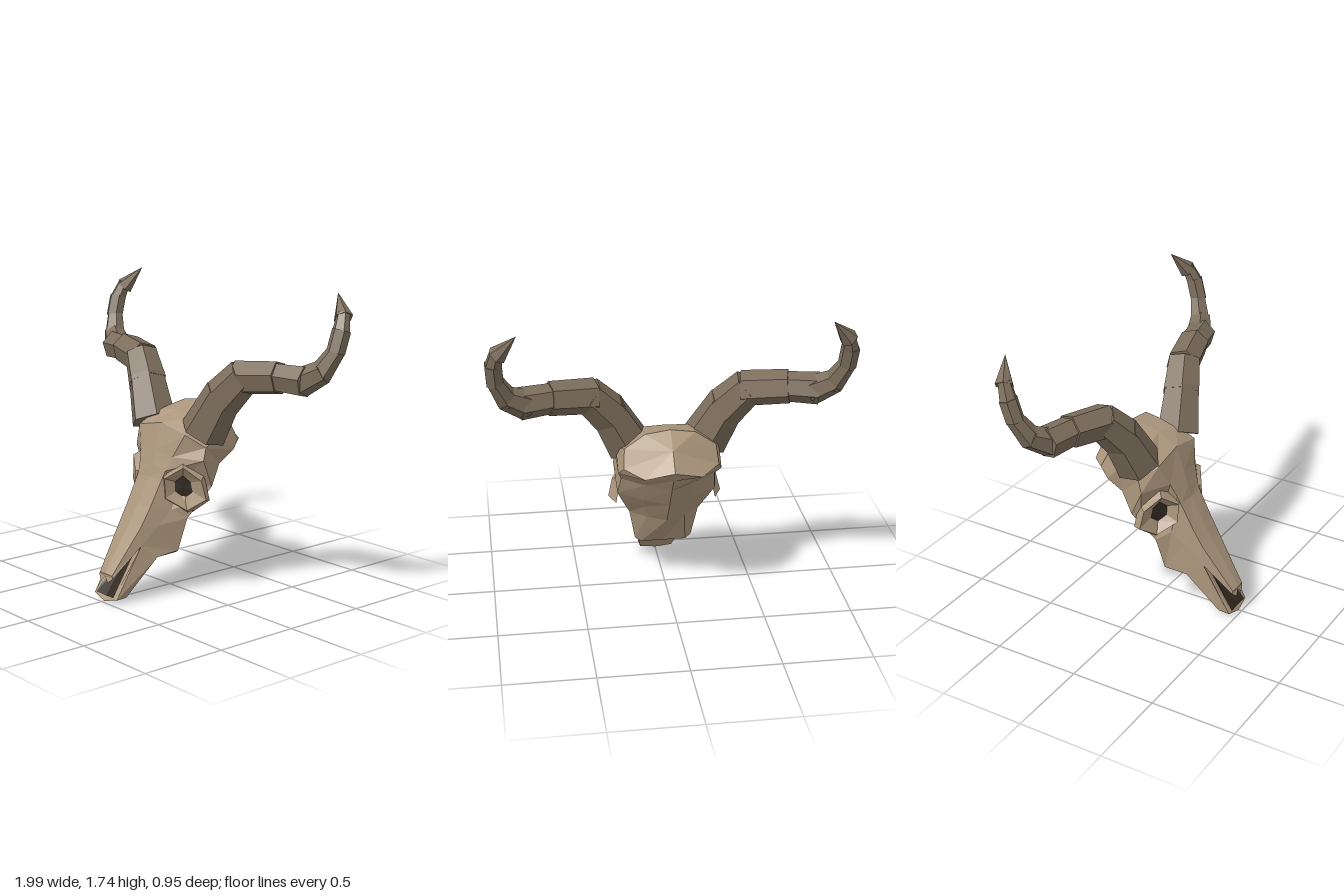
import * as THREE from 'three';

const bone = new THREE.MeshStandardMaterial({ color: 0xab967c });
bone.name = 'bone';
const horn = new THREE.MeshStandardMaterial({ color: 0x7d6e5c });
horn.name = 'horn';
const hollow = new THREE.MeshStandardMaterial({ color: 0x30281f });
hollow.name = 'hollow';

// Full loop from a half section that starts and ends on the centre line
const mirrorLoop = (half) => [
  ...half,
  ...half.slice(1, -1).reverse().map(([x, y, z]) => [-x, y, z]),
];

const average = (loop) => [0, 1, 2].map((k) => loop.reduce((s, p) => s + p[k], 0) / loop.length);

// Faceted geometry from triangles; flip reverses the winding for mirrored parts
function facets(tris, flip = false) {
  const pos = [];
  for (const [a, b, c] of tris) pos.push(...a, ...(flip ? c : b), ...(flip ? b : c));
  const g = new THREE.BufferGeometry();
  g.setAttribute('position', new THREE.Float32BufferAttribute(pos, 3));
  g.computeVertexNormals();
  return g;
}

function fan(loop, centre, front) {
  return loop.map((p, i) => {
    const q = loop[(i + 1) % loop.length];
    return front ? [centre, q, p] : [centre, p, q];
  });
}

// Skin between consecutive loops, listed front to back
function skin(loops) {
  const tris = [];
  for (let s = 0; s < loops.length - 1; s++) {
    const a = loops[s], b = loops[s + 1];
    for (let i = 0; i < a.length; i++) {
      const j = (i + 1) % a.length;
      tris.push([a[i], a[j], b[j]], [a[i], b[j], b[i]]);
    }
  }
  return tris;
}

function solid(halves, frontPoint, backPoint) {
  const loops = halves.map(mirrorLoop);
  const first = loops[0], last = loops[loops.length - 1];
  return facets([
    ...skin(loops),
    ...fan(first, frontPoint || average(first), true),
    ...fan(last, backPoint || average(last), false),
  ]);
}

function part(parent, name, geometry, material) {
  const mesh = new THREE.Mesh(geometry, material);
  mesh.name = name;
  parent.add(mesh);
}

// Six-sided tapered horn segment between two points
function hornSegment([x1, y1, z1, r1], [x2, y2, z2, r2], side) {
  const a = new THREE.Vector3(x1 * side, y1, z1);
  const b = new THREE.Vector3(x2 * side, y2, z2);
  const dir = b.clone().sub(a);
  const g = new THREE.CylinderGeometry(r2, r1, dir.length(), 6).toNonIndexed();
  g.applyQuaternion(new THREE.Quaternion().setFromUnitVectors(new THREE.Vector3(0, 1, 0), dir.normalize()));
  g.translate((a.x + b.x) / 2, (a.y + b.y) / 2, (a.z + b.z) / 2);
  g.computeVertexNormals();
  return g;
}

export function createModel() {
  const model = new THREE.Group();
  model.name = 'hornedSkull';

  // Cranium and face: half sections from the muzzle to the back of the head
  const face = [
    [[0, .43, .295], [.095, .42, .29], [.105, .31, .3], [.14, .24, .21], [.12, .235, .19], [0, .235, .19]],
    [[0, .52, .24], [.1, .52, .23], [.13, .42, .19], [.165, .26, .08], [.13, .24, .065], [0, .24, .065]],
    [[0, .67, .155], [.105, .67, .15], [.15, .5, .115], [.2, .45, .04], [.11, .45, -.04], [0, .45, -.1]],
    [[0, .74, .135], [.115, .72, .13], [.13, .63, .05], [.25, .56, -.03], [.13, .54, -.09], [0, .53, -.16]],
  ];
  const cranium = [
    [[0, .82, .11], [.14, .8, .1], [.295, .79, .005], [.28, .63, -.07], [.14, .61, -.145], [0, .6, -.21]],
    [[0, .97, .06], [.2, .93, .06], [.285, .86, -.02], [.265, .75, -.14], [.14, .74, -.23], [0, .73, -.3]],
    [[0, 1.03, -.06], [.15, 1.01, -.03], [.29, .93, -.12], [.29, .82, -.22], [.16, .81, -.315], [0, .82, -.365]],
    [[0, 1.07, -.23], [.14, 1.05, -.23], [.255, .97, -.23], [.265, .87, -.28], [.16, .845, -.385], [0, .89, -.425]],
  ];
  part(model, 'skull', solid([...face, ...cranium], null, [0, .985, -.335]), bone);

  // Upper nose bone with two short prongs
  part(model, 'noseBone', solid([
    [[0, .165, .475], [.055, .16, .468], [.062, .145, .466], [.03, .118, .48], [0, .15, .465]],
    [[0, .43, .295], [.095, .42, .29], [.105, .31, .3], [.05, .31, .295], [0, .31, .29]],
  ]), bone);

  // Lower muzzle
  part(model, 'muzzle', solid([
    [[0, .03, .465], [.075, .035, .47], [.1, .03, .47], [.095, .03, .4], [0, .02, .4]],
    [[0, .27, .27], [.085, .29, .295], [.105, .31, .3], [.14, .24, .21], [0, .235, .19]],
  ], [0, .005, .48]), bone);

  // Dark nasal floor, narrowing under the nose bone
  const lift = (p) => [p[0], p[1] + .005, p[2] + .005];
  const [n0, n1, n2, n3, n4, n5] = [
    [-.075, .035, .47], [0, .03, .465], [.075, .035, .47],
    [.05, .282, .285], [0, .27, .27], [-.05, .282, .285],
  ].map(lift);
  part(model, 'nasalOpening', facets([[n1, n2, n3], [n1, n3, n4], [n0, n1, n4], [n0, n4, n5]]), hollow);

  // Eye sockets: hole, raised rim and cheek base
  const centre = [.22, .63, .08];
  const rim = [[.13, .68, .15], [.22, .75, .09], [.3, .68, .025], [.325, .575, .01], [.22, .5, .06], [.14, .57, .15]];
  const offsetRim = (to, k, ky) => rim.map((p) => p.map((v, i) => to[i] + (v - centre[i]) * (i === 1 ? ky : k)));
  const hole = offsetRim([.175, .63, .048], .42, .52);
  const base = offsetRim([.165, .63, .03], 1.15, 1.36);

  // Horn rings: start and end as x, y, z, radius
  const rings = [
    [[.215, .93, -.06, .135], [.34, 1.17, -.105, .11]],
    [[.32, 1.13, -.1, .118], [.45, 1.28, -.155, .1]],
    [[.41, 1.26, -.145, .1], [.66, 1.285, -.215, .095]],
    [[.63, 1.285, -.21, .083], [.82, 1.28, -.255, .09]],
    [[.78, 1.27, -.25, .083], [.9, 1.34, -.305, .065]],
    [[.88, 1.32, -.295, .065], [.95, 1.46, -.355, .047]],
    [[.945, 1.44, -.345, .052], [.952, 1.56, -.38, .052]],
    [[.952, 1.54, -.375, .05], [.93, 1.645, -.415, .036]],
    [[.93, 1.62, -.415, .053], [.83, 1.74, -.475, 0]],
  ];

  for (const [label, side] of [['left', 1], ['right', -1]]) {
    const place = (loop) => loop.map(([x, y, z]) => [x * side, y, z]);
    const loops = [hole, rim, base].map(place);
    part(model, label + 'EyeSocket', facets(skin(loops), side < 0), bone);
    part(model, label + 'EyeHollow', facets(fan(loops[0], average(loops[0]), true), side < 0), hollow);

    const hornGroup = new THREE.Group();
    hornGroup.name = label + 'Horn';
    rings.forEach(([a, b], i) => part(hornGroup, 'hornRing' + (i + 1), hornSegment(a, b, side), horn));
    model.add(hornGroup);
  }
  return model;
}
